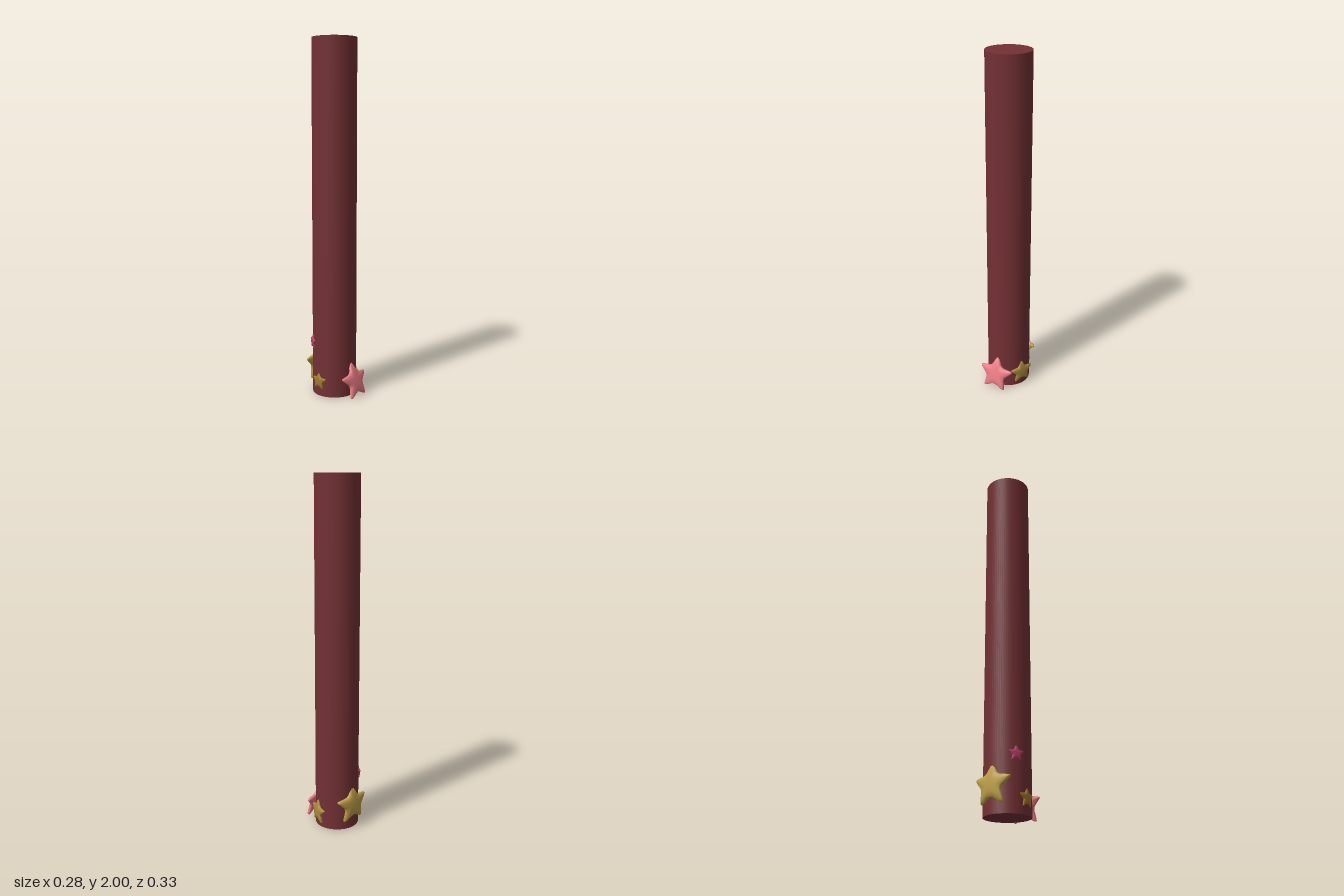
import * as THREE from 'three';
import { toCreasedNormals } from 'three/addons/utils/BufferGeometryUtils.js';

const material = (color) => new THREE.MeshStandardMaterial({ color });

// Five-pointed outline of radius 1 with rounded tips and notches
function starOutline() {
  const corners = [];
  for (let i = 0; i < 10; i++) {
    const a = Math.PI / 2 + (i * Math.PI) / 5;
    const r = i % 2 ? 0.53 : 1.07;
    corners.push(new THREE.Vector2(Math.cos(a) * r, Math.sin(a) * r));
  }
  const points = [];
  corners.forEach((p, i) => {
    const before = p.clone().lerp(corners[(i + 9) % 10], 0.25);
    const after = p.clone().lerp(corners[(i + 1) % 10], 0.25);
    points.push(...new THREE.QuadraticBezierCurve(before, p, after).getPoints(4));
  });
  return points;
}

// Puffy star: the outline is swept through rings from the back centre to the front centre
function starGeometry(radius, halfThickness, bulge) {
  const outline = starOutline();
  const n = outline.length;
  const rings = [
    [0.001, -1], [0.45, -1], [0.88, -0.9], [0.98, -0.5], [1, 0],
    [0.98, 0.5], [0.88, 0.9], [0.45, 1], [0.001, 1],
  ];
  const positions = [];
  const index = [];
  rings.forEach(([s, h], j) => {
    outline.forEach((p, i) => {
      const x = p.x * s, y = p.y * s;
      // arms curl back towards the post
      positions.push(x * radius, y * radius, h * halfThickness - bulge * (x * x + y * y));
      if (j === rings.length - 1) return;
      const a = j * n + i, b = j * n + ((i + 1) % n);
      index.push(a, b, b + n, a, b + n, a + n);
    });
  });
  const geometry = new THREE.BufferGeometry();
  geometry.setAttribute('position', new THREE.Float32BufferAttribute(positions, 3));
  geometry.setIndex(index);
  return toCreasedNormals(geometry, 0.8);
}

export function createModel() {
  const model = new THREE.Group();
  model.name = 'starPost';

  // Tall round post
  const post = new THREE.Mesh(new THREE.CylinderGeometry(0.125, 0.125, 2, 64), material(0x733034));
  post.name = 'post';
  post.position.set(-0.005, 1, -0.022);
  model.add(post);

  // Stars around the foot: centre, facing direction, radius, half thickness, bulge
  const stars = [
    { name: 'frontPinkStar', at: [0, 0.091, 0.134], facing: [0.09, 0.3, 1], r: 0.109, t: 0.011, bulge: 0.008, color: 0xe87a82 },
    { name: 'backGoldStar', at: [0.004, 0.146, -0.155], facing: [0.07, 0.07, -1], r: 0.116, t: 0.012, bulge: 0.018, color: 0xbc9c45 },
    { name: 'leftGoldStar', at: [0.118, 0.088, 0.022], facing: [0.92, 0.03, 0.39], r: 0.076, t: 0.008, bulge: 0.009, color: 0xaa8a3a },
    { name: 'rightGoldStar', at: [-0.13, 0.085, -0.03], facing: [-1, 0.03, -0.05], r: 0.053, t: 0.007, bulge: 0.006, color: 0x9c7a2c },
    { name: 'rightMagentaStar', at: [-0.11, 0.3, -0.094], facing: [-0.85, 0.02, -0.5], r: 0.043, t: 0.006, bulge: 0.004, color: 0xb83f66 },
  ];
  for (const s of stars) {
    const star = new THREE.Mesh(starGeometry(s.r, s.t, s.bulge), material(s.color));
    star.name = s.name;
    star.position.set(...s.at);
    star.lookAt(star.position.clone().add(new THREE.Vector3(...s.facing)));
    model.add(star);
  }
  return model;
}
